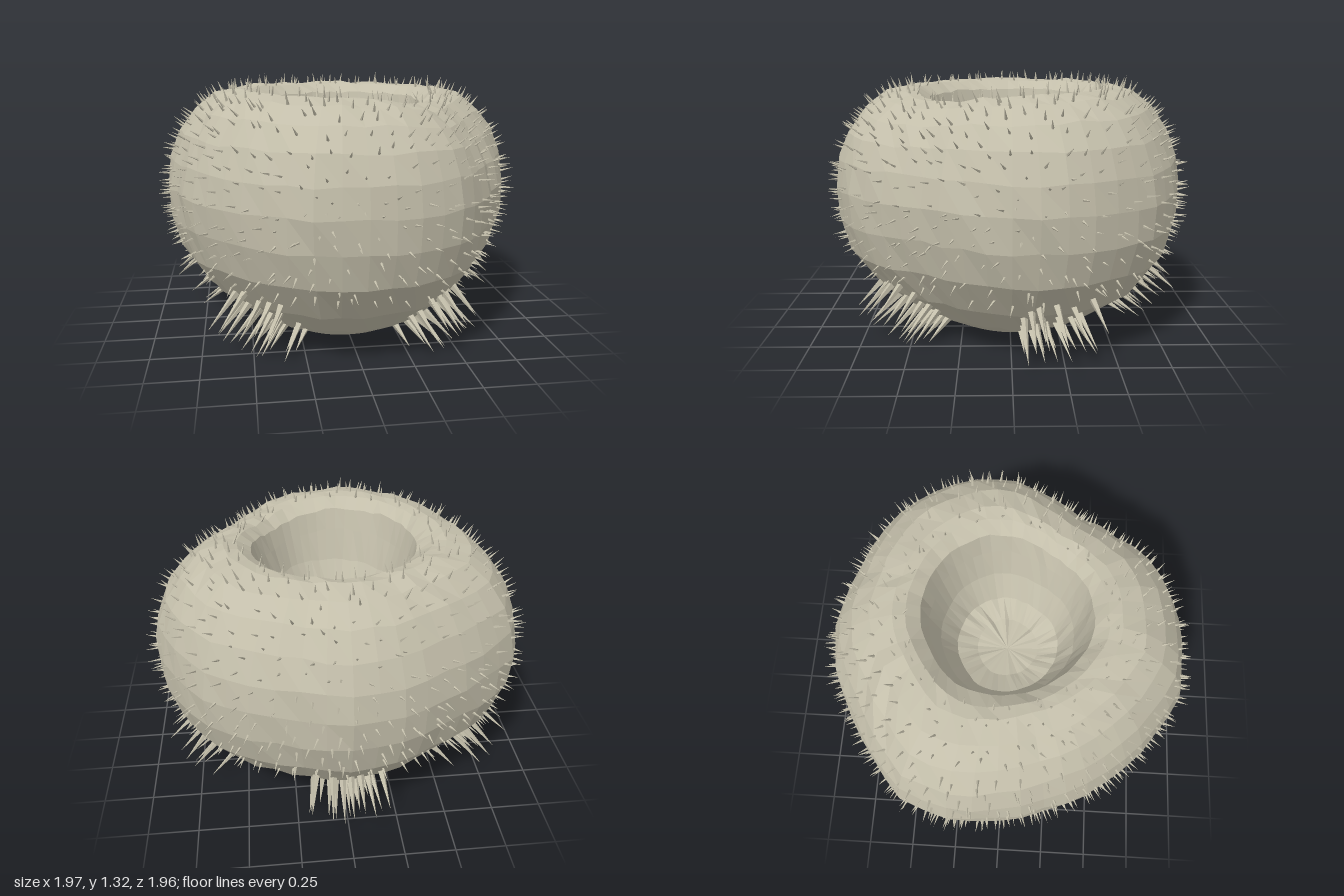
import * as THREE from 'three';
import { mergeGeometries } from 'three/addons/utils/BufferGeometryUtils.js';

const TAU = Math.PI * 2;
const SEGMENTS = 48;

// Outline radius every 15 degrees, from +x towards +z
const OUTLINE = [0.90, 0.84, 0.805, 0.84, 0.885, 0.90, 0.905, 0.92, 0.89, 0.87, 0.87, 0.87,
  0.90, 0.94, 0.955, 0.905, 0.88, 0.895, 0.90, 0.88, 0.895, 0.92, 0.92, 0.925];

// Cross-section: [radius, height, how strongly the outline shapes it]
const PROFILE = [
  [0, 0, 0], [0.335, 0, 0.3], [0.51, 0.09, 0.6], [0.72, 0.25, 1], [0.85, 0.43, 1],
  [0.90, 0.60, 1], [0.91, 0.76, 1], [0.885, 0.90, 1.1], [0.83, 1.03, 1.2], [0.75, 1.14, 1.2],
  [0.65, 1.215, 1.1], [0.54, 1.245, 0.9], [0.48, 1.235, 0.7], [0.415, 1.19, 0.5],
  [0.385, 1.08, 0.5], [0.34, 0.92, 0.5], [0.265, 0.77, 0.5], [0.16, 0.72, 0.4], [0, 0.70, 0],
];
const RIM = 12.2;
// Azimuths of the long spine bundles, in degrees
const BUNDLES = [-17, 52, 132, 204, 271];

function makeRandom(seed) {
  return () => {
    seed = (seed * 1664525 + 1013904223) % 4294967296;
    return seed / 4294967296;
  };
}

function outline(a) {
  const f = (((a / TAU) % 1) + 1) % 1 * OUTLINE.length;
  const i = Math.floor(f);
  return THREE.MathUtils.lerp(OUTLINE[i % 24], OUTLINE[(i + 1) % 24], f - i) / 0.895;
}

// Point on the shell at angle a and profile position t; the top dips in one corner
function shellPoint(a, t) {
  const j = Math.min(Math.floor(t), PROFILE.length - 2);
  const [r, y, w] = PROFILE[j].map((v, k) => THREE.MathUtils.lerp(v, PROFILE[j + 1][k], t - j));
  const radius = r * (1 + (outline(a) - 1) * w);
  const dip = 0.055 * Math.exp(6 * (Math.cos(a - 0.75) - 1));
  const lift = (0.01 - dip) * THREE.MathUtils.clamp((y - 0.95) / 0.25, 0, 1);
  return new THREE.Vector3(Math.cos(a) * radius, y + lift, Math.sin(a) * radius);
}

function shellNormal(a, t) {
  const up = shellPoint(a, t + 0.5).sub(shellPoint(a, t - 0.5));
  const around = shellPoint(a + 0.12, t).sub(shellPoint(a - 0.12, t));
  return up.cross(around).normalize();
}

// Lobed shell with a pit in the top, slightly uneven
function shellGeometry() {
  const random = makeRandom(7);
  const points = [];
  const index = [];
  const last = PROFILE.length - 1;
  for (let j = 0; j <= last; j++) {
    for (let i = 0; i < SEGMENTS; i++) {
      const p = shellPoint((i / SEGMENTS) * TAU, j);
      const uneven = j > 1 && j < last ? 1 : 0;
      const k = 1 + (random() - 0.5) * 0.014 * uneven;
      points.push(p.x * k, p.y + (random() - 0.5) * 0.016 * uneven, p.z * k);
      if (j === last) continue;
      const n = (i + 1) % SEGMENTS;
      const b = j * SEGMENTS;
      const c = b + SEGMENTS;
      if (j < last - 1) index.push(b + i, c + i, c + n);
      else index.push(b + i, c + i, b + n);
      if (j > 0 && j < last - 1) index.push(b + i, c + n, b + n);
    }
  }
  const g = new THREE.BufferGeometry();
  g.setAttribute('position', new THREE.Float32BufferAttribute(points, 3));
  g.setIndex(index);
  const flat = g.toNonIndexed();
  flat.computeVertexNormals();
  return flat;
}

// Thin cone rooted just under the shell
function spine(base, direction, radius, length) {
  const g = new THREE.ConeGeometry(radius, length, 4, 1);
  g.translate(0, length / 2 - 0.015, 0);
  g.applyQuaternion(new THREE.Quaternion().setFromUnitVectors(new THREE.Vector3(0, 1, 0), direction));
  return g.translate(base.x, base.y, base.z);
}

// Short spines in rings from the flank to the rim
function shortSpines() {
  const random = makeRandom(31);
  const list = [];
  for (let t = 3.6; t < RIM; t += t > 6 ? 0.64 : 0.5) {
    const ring = shellPoint(0, t).x;
    const count = Math.round(TAU * ring / (t > 11 ? 0.13 : 0.092));
    const start = random();
    for (let i = 0; i < count; i++) {
      const a = ((i + start + (random() - 0.5) * 0.7) / count) * TAU;
      const s = t + (random() - 0.5) * 0.5;
      const tilt = new THREE.Vector3(random() - 0.5, random() - 0.3, random() - 0.5).multiplyScalar(0.4);
      const direction = shellNormal(a, s).add(tilt).normalize();
      list.push(spine(shellPoint(a, s), direction, 0.008, 0.055 + random() * 0.03));
    }
  }
  return mergeGeometries(list);
}

// One bundle of long spines low on a lobe
function longSpines(angle, seed) {
  const random = makeRandom(seed);
  const list = [];
  for (let row = 0; row < 4; row++) {
    for (let i = 0; i < 5; i++) {
      const a = angle + ((i - 2) / 2) * 0.2 + (random() - 0.5) * 0.08;
      const t = 1.95 + row * 0.45 + (random() - 0.5) * 0.25;
      const direction = new THREE.Vector3(Math.cos(a), -0.64 - row * 0.07 + (random() - 0.5) * 0.15, Math.sin(a));
      const base = shellPoint(a, t);
      const length = Math.min(0.18 + random() * 0.07, 0.05 + base.y * 1.3);
      list.push(spine(base, direction.normalize(), 0.019, length));
    }
  }
  return mergeGeometries(list);
}

export function createModel() {
  const stone = new THREE.MeshStandardMaterial({ color: 0xc3beaa, flatShading: true });
  stone.name = 'pale stone';

  const model = new THREE.Group();
  model.name = 'spinyShell';
  const add = (name, geometry) => {
    const mesh = new THREE.Mesh(geometry, stone);
    mesh.name = name;
    model.add(mesh);
  };

  add('shell', shellGeometry());
  add('shortSpines', shortSpines());
  // Five bundles, one under each lobe
  BUNDLES.forEach((degrees, k) => {
    add('longSpines' + (k + 1), longSpines((degrees / 360) * TAU, 50 + k * 13));
  });
  return model;
}
